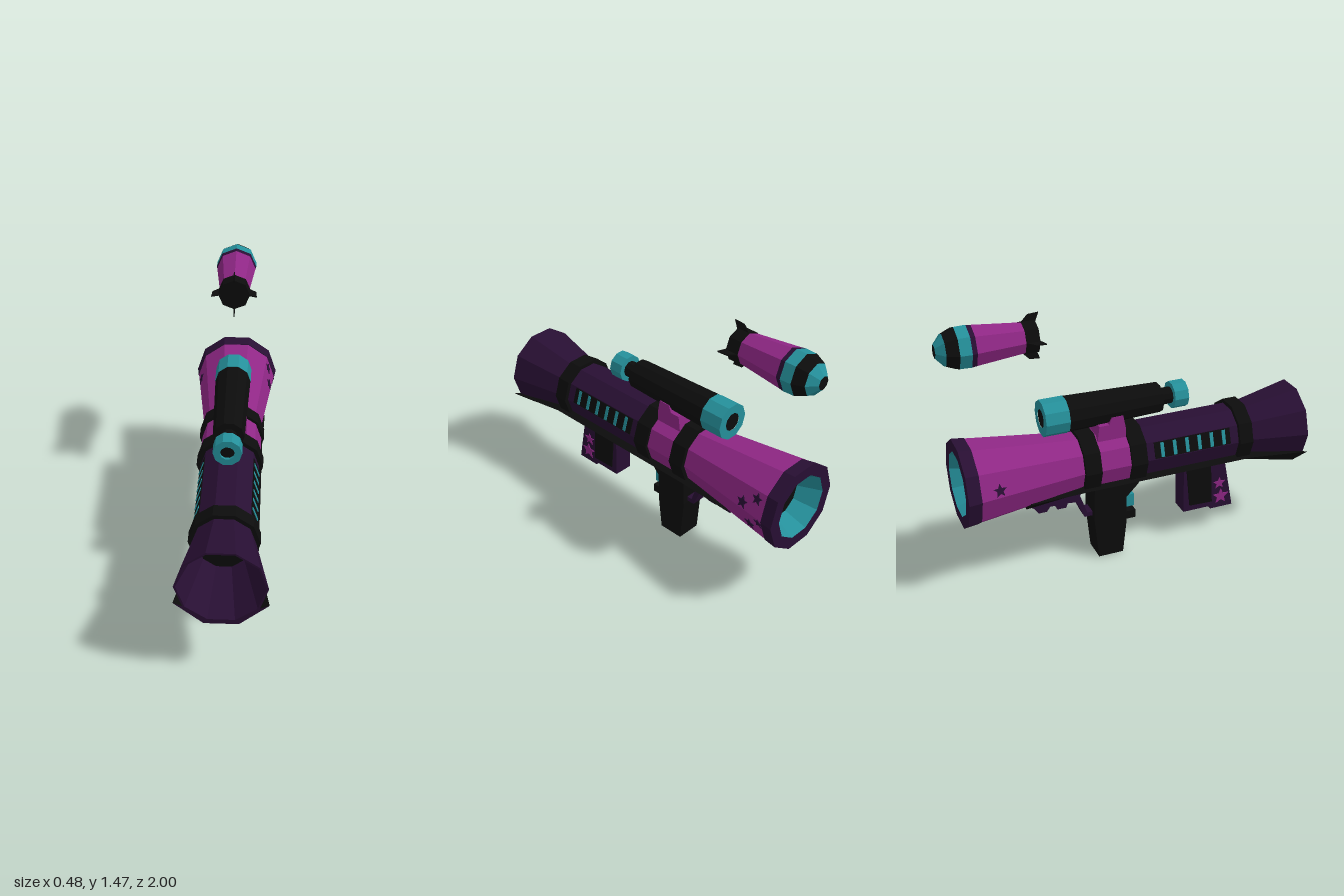
import * as THREE from 'three';

const mat = (name, color) => {
  const m = new THREE.MeshStandardMaterial({ color });
  m.name = name;
  return m;
};

export function createModel() {
  const purple = mat('dark purple', 0x280f33);
  const magenta = mat('magenta', 0x8f2785);
  const teal = mat('teal', 0x25909b);
  const black = mat('black', 0x0c0c0c);
  const model = new THREE.Group();
  const AXIS = 0.6; // height of the barrel axis

  // Faceted mesh with hard edges
  const add = (name, geo, material, parent = model) => {
    const g = geo.index ? geo.toNonIndexed() : geo;
    g.computeVertexNormals();
    const mesh = new THREE.Mesh(g, material);
    mesh.name = name;
    parent.add(mesh);
    return mesh;
  };

  // Turned part along z: [radius, z] pairs, rising z faces outward, falling z faces inward
  const turned = (name, pts, material, y = AXIS, sides = 10) => {
    const geo = new THREE.LatheGeometry(pts.map(p => new THREE.Vector2(p[0], p[1])), sides, Math.PI / 2);
    geo.rotateX(Math.PI / 2);
    geo.translate(0, y, 0);
    return add(name, geo, material);
  };

  // Side profile of [z, y] points given a width across x
  const profile = (name, pts, width, material) => {
    const shape = new THREE.Shape(pts.map(p => new THREE.Vector2(p[0], p[1])));
    const geo = new THREE.ExtrudeGeometry(shape, { depth: width, bevelEnabled: false });
    geo.translate(0, 0, -width / 2);
    geo.rotateY(-Math.PI / 2);
    return add(name, geo, material);
  };

  const starGeo = r => {
    const pts = [];
    for (let i = 0; i < 10; i++) {
      const a = Math.PI / 2 + i * Math.PI / 5, q = i % 2 ? r * 0.45 : r;
      pts.push(new THREE.Vector2(q * Math.cos(a), q * Math.sin(a)));
    }
    return new THREE.ExtrudeGeometry(new THREE.Shape(pts), { depth: 0.006, bevelEnabled: false }).translate(0, 0, -0.002);
  };

  // Seat a plate on a side facet of the barrel; side is +1 or -1, slope is the flare
  const onFace = (mesh, side, y, z, radius, slope = 0, lift = 0) => {
    const a = (y >= AXIS ? 1 : -1) * Math.PI / 10;
    const apothem = radius * Math.cos(Math.PI / 10) + lift;
    const s = (y - AXIS - apothem * Math.sin(a)) / Math.cos(a);
    const N = new THREE.Vector3(side * Math.cos(a), Math.sin(a), slope).normalize();
    const Y = new THREE.Vector3(-side * Math.sin(a), Math.cos(a), 0);
    const X = new THREE.Vector3().crossVectors(Y, N);
    mesh.quaternion.setFromRotationMatrix(new THREE.Matrix4().makeBasis(X, Y, N));
    mesh.position.set(side * (apothem * Math.cos(a) - s * Math.sin(a)), y, z);
  };

  // Barrel, muzzle and rear flare
  turned('frontBarrel', [[0.158, -0.02], [0.158, 0.68], [0.225, 1], [0.215, 1], [0.125, 0.72]], purple);
  turned('muzzleBore', [[0.126, 0.72], [0, 0.72]], black);
  turned('rearFlare', [[0.228, -0.87], [0.158, -0.3], [0.158, -0.2]], magenta);
  turned('rearRim', [[0.175, -0.94], [0.239, -0.94], [0.231, -0.87], [0.22, -0.87]], purple);
  turned('rearThroat', [[0.12, -0.82], [0.176, -0.94]], teal);
  turned('rearBore', [[0, -0.82], [0.121, -0.82]], black);
  turned('sleeve', [[0.15, -0.215], [0.165, -0.215], [0.165, -0.03], [0.15, -0.03]], magenta);
  for (const [z0, z1] of [[0.6, 0.68], [-0.04, 0.05], [-0.3, -0.21]]) {
    turned('band', [[0.14, z0], [0.18, z0], [0.18, z1], [0.14, z1]], black);
  }

  // Under-tray lofted along the barrel: [z, barrel radius, lip x, keel x, keel drop]
  const rings = [
    [-0.6, 0.195, 0.18, 0.07, 0.194], [-0.3, 0.158, 0.17, 0.062, 0.17],
    [0.68, 0.158, 0.17, 0.062, 0.17], [1, 0.225, 0.23, 0.085, 0.232],
  ].map(([z, r, lip, keel, drop]) => {
    const q = r * 0.97;
    const right = [[keel, -drop], [lip, -0.105], [0.809 * q, -0.588 * q], [0.309 * q, -0.951 * q]];
    const left = right.map(([x, y]) => [-x, y]);
    return [left[1], left[0], right[0], right[1], right[2], right[3], left[3], left[2]]
      .map(([x, y]) => [x, AXIS + y, z]);
  });
  const tray = [];
  const quad = (out, a, b, c, d) => out.push(...a, ...b, ...c, ...a, ...c, ...d);
  for (let k = 0; k < 3; k++) {
    for (let i = 0; i < 8; i++) {
      const j = (i + 1) % 8;
      quad(tray, rings[k][i], rings[k][j], rings[k + 1][j], rings[k + 1][i]);
    }
  }
  const lip = [];
  for (let i = 0; i < 3; i++) {
    quad(tray, rings[0][7 - i], rings[0][6 - i], rings[0][i + 1], rings[0][i]);
    quad(lip, rings[3][i], rings[3][i + 1], rings[3][6 - i], rings[3][7 - i]);
  }
  const soup = a => new THREE.BufferGeometry().setAttribute('position', new THREE.Float32BufferAttribute(a, 3));
  add('underTray', soup(tray), black);
  add('underTrayLip', soup(lip), purple);

  // Vents on both sides
  for (const side of [1, -1]) {
    onFace(add('ventPanel', new THREE.BoxGeometry(0.45, 0.09, 0.008), black), side, 0.647, 0.325, 0.158);
    for (let i = 0; i < 6; i++) {
      const slit = add('ventSlit', new THREE.BoxGeometry(0.02, 0.08, 0.008), teal);
      onFace(slit, side, 0.647, 0.51 - i * 0.073, 0.158, 0, 0.003);
    }
  }

  // Stars on the rear flare: [side, z, y, size]
  for (const [side, z, y, r] of [
    [1, -0.815, 0.69, 0.034], [1, -0.73, 0.632, 0.036], [1, -0.848, 0.573, 0.03],
    [1, -0.775, 0.515, 0.036], [-1, -0.77, 0.635, 0.036],
  ]) {
    const radius = 0.158 + (-0.3 - z) * 0.123;
    onFace(add('flareStar', starGeo(r), purple), side, y, z, radius, 0.117);
  }

  // Scope and its mount
  const SY = 0.887;
  turned('scopeEyepiece', [[0.04, 0.25], [0.075, 0.25], [0.075, 0.33], [0.038, 0.33], [0.038, 0.315]], teal, SY);
  turned('scopeEyeLens', [[0.04, 0.316], [0, 0.316]], black, SY);
  turned('scopeBody', [[0.097, -0.35], [0.082, 0.18], [0.046, 0.18], [0.046, 0.26]], black, SY);
  turned('scopeObjective', [[0.05, -0.48], [0.099, -0.48], [0.099, -0.35], [0.08, -0.35]], teal, SY);
  turned('scopeFrontLens', [[0, -0.478], [0.051, -0.478]], black, SY);
  profile('scopeMount', [[-0.04, 0.7], [-0.04, 0.78], [-0.055, 0.86], [-0.12, 0.86], [-0.135, 0.82],
    [-0.19, 0.82], [-0.205, 0.7]], 0.17, magenta);

  // Front grip
  profile('frontGrip', [[0.57, 0.46], [0.632, 0.14], [0.495, 0.14], [0.49, 0.158], [0.325, 0.158], [0.32, 0.46]], 0.11, purple);
  profile('frontGripInset', [[0.485, 0.44], [0.5, 0.19], [0.36, 0.195], [0.335, 0.44]], 0.124, black);
  for (const side of [1, -1]) {
    for (const [z, y, r] of [[0.545, 0.3, 0.038], [0.557, 0.212, 0.05]]) {
      const star = add('gripStar', starGeo(r), magenta);
      star.position.set(side * 0.055, y, z);
      star.rotation.y = side * Math.PI / 2;
    }
  }

  // Main grip, trigger and rear guard
  profile('mainGrip', [[0.05, 0.45], [0.04, 0.42], [-0.03, 0.35], [-0.03, 0.2], [-0.052, 0],
    [-0.195, 0], [-0.22, 0.25], [-0.215, 0.45]], 0.138, black);
  profile('trigger', [[0.03, 0.26], [0.03, 0.335], [-0.05, 0.335], [-0.05, 0.26]], 0.06, teal);
  profile('triggerRest', [[0.035, 0.188], [0.035, 0.236], [-0.05, 0.236], [-0.05, 0.188]], 0.08, black);
  profile('rearGuard', [[-0.2, 0.26], [-0.265, 0.26], [-0.31, 0.365], [-0.36, 0.37], [-0.37, 0.345],
    [-0.42, 0.345], [-0.43, 0.372], [-0.46, 0.372], [-0.48, 0.345], [-0.525, 0.345], [-0.55, 0.38],
    [-0.6, 0.41], [-0.55, 0.44], [-0.27, 0.44], [-0.29, 0.4], [-0.25, 0.285], [-0.2, 0.285]], 0.08, purple);

  // Floating rocket
  const RY = 1.348;
  const rocket = (name, pts, material) => turned(name, pts, material, RY, 8);
  rocket('rocketTip', [[0, -1], [0.035, -0.998]], black);
  rocket('rocketNose', [[0.035, -0.998], [0.084, -0.955]], teal);
  rocket('rocketNoseBand', [[0.084, -0.955], [0.11, -0.895]], black);
  rocket('rocketCollar', [[0.11, -0.895], [0.112, -0.835]], teal);
  rocket('rocketRing', [[0.112, -0.835], [0.108, -0.81]], purple);
  rocket('rocketBody', [[0.108, -0.81], [0.082, -0.56]], magenta);
  rocket('rocketTail', [[0.078, -0.56], [0.086, -0.56], [0.086, -0.49], [0, -0.49]], black);
  for (let i = 0; i < 4; i++) {
    const fin = profile('rocketFin', [[-0.47, 0.123], [-0.525, 0.119], [-0.562, 0.08], [-0.49, 0.07]], 0.006, black);
    fin.position.y = RY;
    fin.rotation.z = i * Math.PI / 2;
  }
  return model;
}
